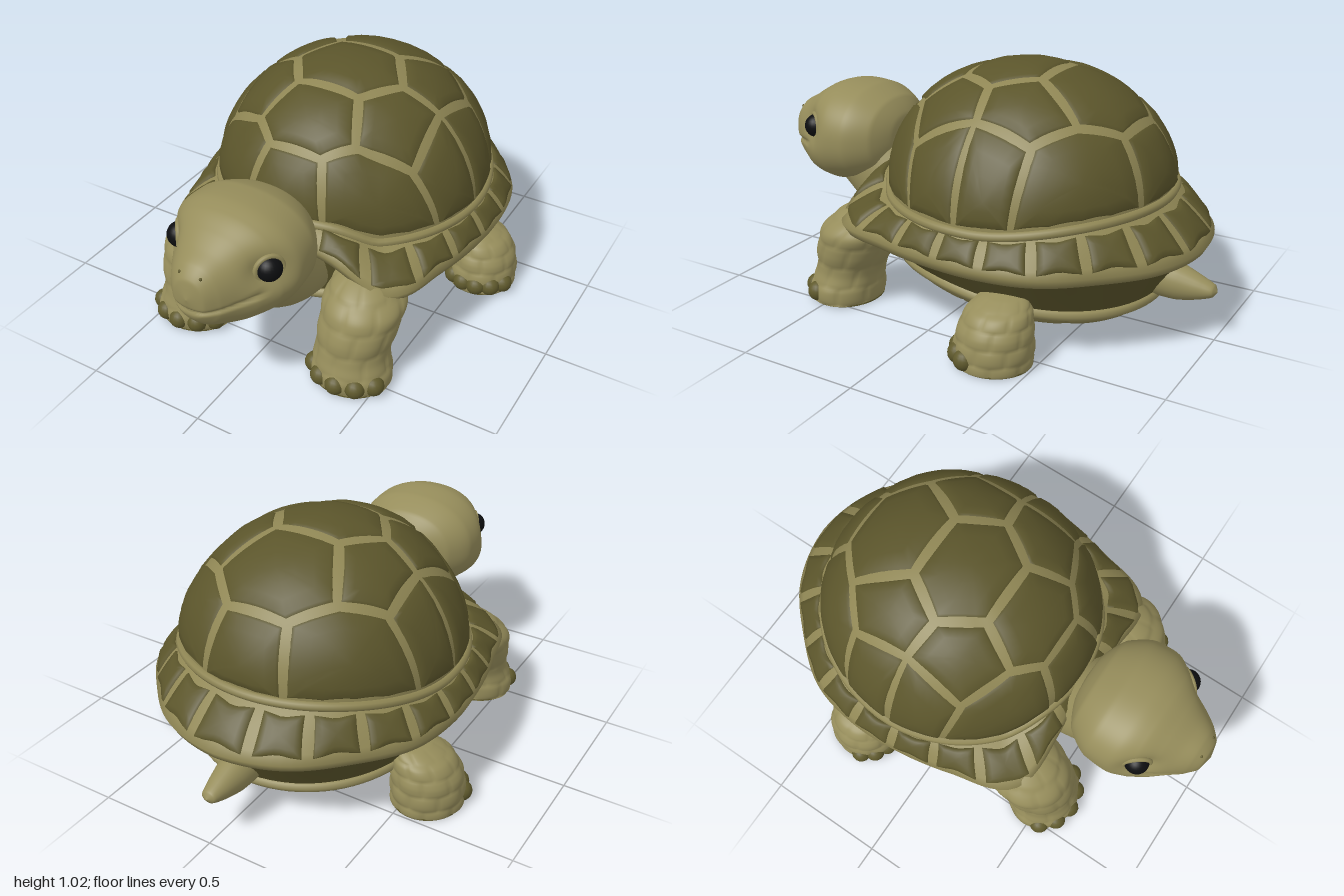
import * as THREE from 'three';

const mat = (name, color, side = THREE.FrontSide) => {
  const m = new THREE.MeshStandardMaterial({ color, side });
  m.name = name;
  return m;
};
const V = (x, y, z) => new THREE.Vector3(x, y, z);
const { lerp, smoothstep } = THREE.MathUtils;
const CENTRE = V(0, 0.4, -0.18);

// Closed-around surface from fn(angle, v) -> Vector3
function surface(fn, nu, nv, flip = false) {
  const pos = [], idx = [];
  for (let j = 0; j <= nv; j++)
    for (let i = 0; i < nu; i++) pos.push(...fn((i / nu) * Math.PI * 2, j / nv).toArray());
  for (let j = 0; j < nv; j++)
    for (let i = 0; i < nu; i++) {
      const a = j * nu + i, b = j * nu + ((i + 1) % nu), c = a + nu, d = b + nu;
      if (flip) idx.push(a, c, b, b, c, d);
      else idx.push(a, b, c, b, d, c);
    }
  return toGeometry(pos, idx);
}

function toGeometry(pos, idx) {
  const g = new THREE.BufferGeometry();
  g.setAttribute('position', new THREE.Float32BufferAttribute(pos, 3));
  g.setIndex(idx);
  g.computeVertexNormals();
  return g;
}

// Smooth loft; each section is [position on axis, centre a, centre b, radius a, radius b]
function loft(sections, axis, { power = 2, bump = null, nu = 48, nv = 48, warp = null } = {}) {
  const mid = new THREE.CatmullRomCurve3(sections.map((s) => V(s[0], s[1], s[2])));
  const rad = new THREE.CatmullRomCurve3(sections.map((s) => V(s[3], s[4], 0)));
  const sup = (x) => Math.sign(x) * Math.abs(x) ** (2 / power);
  return surface((a, v) => {
    const m = mid.getPoint(v), r = rad.getPoint(v), k = 1 + (bump ? bump(a, v) : 0);
    const p = m.y + Math.max(0, r.x) * k * sup(Math.cos(a));
    const q = m.z + Math.max(0, r.y) * k * sup(Math.sin(a));
    const out = axis === 'y' ? V(p, Math.max(0.003, m.x), q) : V(p, q, m.x);
    return warp ? warp(out) : out;
  }, nu, nv, axis === 'y');
}

// Staggered rows of rounded skin scales
const scales = (n, rows, size) => (a, v) =>
  size * Math.sqrt(Math.abs(Math.sin(n * a + Math.floor(v * rows) * Math.PI / 2) * Math.sin(rows * Math.PI * v)));

// Carapace shape: dome, flared rim, belly bowl
const front = (a) => smoothstep(Math.cos(a), 0.76, 0.97);
const rear = (a) => smoothstep(-Math.cos(a), 0.1, 1);
const outline = new THREE.SplineCurve(
  [0.58, 0.665, 0.772, 0.685, 0.65, 0.66, 0.69, 0.7, 0.745, 0.765].map((r, i) => new THREE.Vector2(i, r)));
const outerR = (a) => outline.getPoint(Math.acos(Math.cos(a)) / Math.PI).y;
const domeR = (a) => 0.57 + 0.02 * rear(a);
const edgeY = (a) => 0.38 + 0.11 * front(a);
const baseY = (a) => 0.475 + 0.075 * front(a) + 0.055 * rear(a);
const polar = (a, r, y) => V(r * Math.sin(a), y, -0.18 + r * Math.cos(a));

function dome(u, v) {
  const q = Math.hypot(u, v), a = Math.atan2(u, v), phi = q * Math.PI / 2, y0 = baseY(a);
  return polar(a, domeR(a) * Math.sin(phi), y0 + (1.005 - y0) * Math.cos(phi));
}
function rim(u, v) {
  const a = u / 0.65, s = v / 0.14;
  return polar(a, lerp(domeR(a) - 0.005, outerR(a), s), lerp(baseY(a) + 0.012, edgeY(a), s) + 0.012 * Math.sin(Math.PI * s));
}
const lipY = (u, v) => 0.17 + 0.02 * v + (0.04 + 0.05 * v) * u * u;
const lip = (a) => V(0.5 * Math.sin(a), lipY(Math.sin(a), Math.cos(a)), -0.2 + 0.55 * Math.cos(a));
function bowl(u, v) {
  const h = Math.sqrt(Math.max(0, 1 - u * u - v * v));
  return V(0.5 * u, lipY(u, v) - 0.137 * h, -0.2 + 0.55 * v);
}

// Raised plate over a polygon drawn in the (u, v) coordinates of a surface
function plate(map, corners, inset, lift) {
  const pts = corners.map(([x, y]) => new THREE.Vector2(x, y));
  const c = pts.reduce((s, p) => s.add(p), new THREE.Vector2()).divideScalar(pts.length);
  const edge = [];
  pts.forEach((p, i) => {
    for (let k = 0; k < 5; k++) edge.push(p.clone().lerp(pts[(i + 1) % pts.length], k / 5));
  });
  edge.forEach((p) => p.lerp(c, Math.min(0.6, inset / p.distanceTo(c))));
  const put = (p, h) => {
    const o = map(p.x, p.y), e = 0.002;
    const n = map(p.x + e, p.y).sub(o).cross(map(p.x, p.y + e).sub(o)).normalize();
    if (n.dot(o.clone().sub(CENTRE)) < 0) n.negate();
    return o.addScaledVector(n, h).toArray();
  };
  const pos = [], idx = [], n = edge.length;
  [[0, -0.3], [0.08, 0.65], [0.35, 0.9], [0.68, 1]].forEach(([f, h]) =>
    edge.forEach((p) => pos.push(...put(p.clone().lerp(c, f), h * lift))));
  pos.push(...put(c, lift));
  for (let i = 0; i < n; i++) {
    const j = (i + 1) % n;
    for (let r = 0; r < 3; r++)
      idx.push(r * n + i, r * n + j, r * n + n + i, r * n + j, r * n + n + j, r * n + n + i);
    idx.push(3 * n + i, 3 * n + j, 4 * n);
  }
  // turn the plate outwards when its corners run the other way
  const at = (i) => V(...pos.slice(3 * i, 3 * i + 3)), t = at(4 * n);
  const normal = at(3 * n).sub(t).cross(at(3 * n + 5).sub(t));
  if (normal.dot(t.clone().sub(CENTRE)) < 0) idx.reverse();
  return toGeometry(pos, idx);
}

export function createModel() {
  const group = new THREE.Group();
  group.name = 'tortoise';
  const skin = mat('skin', 0x968d5b);
  const seam = mat('shellSeam', 0x8f8654, THREE.DoubleSide);
  const scute = mat('shellScute', 0x5b552b);
  const under = mat('shellUnderside', 0x59532a, THREE.DoubleSide);
  const belly = mat('bellyPlate', 0x8a8150);
  const nail = mat('toenail', 0x605a2d);
  const black = mat('eyeBlack', 0x0d0e10);
  const add = (name, geo, material, parent = group) => {
    const m = new THREE.Mesh(geo, material);
    m.name = name;
    parent.add(m);
    return m;
  };
  const mirrored = (list) => list.map(([x, y]) => [-x, y]);
  const ring = (fn) => new THREE.CatmullRomCurve3(
    Array.from({ length: 48 }, (_, i) => fn((i / 48) * Math.PI * 2)), true);

  // Shell base in the seam colour
  add('shellDome', surface((a, v) => dome(v * Math.sin(a), v * Math.cos(a)), 96, 32, true), seam);
  const underRim = [[0.975, -0.035], [0.9, -0.04]];
  add('shellRim', surface((a, v) => {
    const k = Math.round(v * 8);
    if (k <= 6) return rim(a * 0.65, (k / 6) * 0.14);
    const [f, dy] = underRim[k - 7];
    return polar(a, outerR(a) * f, edgeY(a) + dy);
  }, 128, 8, true), seam);
  add('shellBead', new THREE.TubeGeometry(ring((a) => polar(a, domeR(a), baseY(a) + 0.012)), 128, 0.019, 8, true), seam);

  // Dome scutes
  const arc = (a0, a1) => [0, 1, 2, 3, 4].map((i) => {
    const a = lerp(a0, a1, i / 4);
    return [0.97 * Math.sin(a), 0.97 * Math.cos(a)];
  });
  const A = [0.155, -0.134], B = [0.32, -0.405], C = [0.167, -0.584], D = [0.284, 0.057], E = [0.16, 0.25],
    F = [0.273, 0.473], G = [0.156, 0.61], H = [0.485, 0.024], I = [0.52, -0.28], J = [0.559, 0.373];
  const across = (list) => [...list, ...mirrored(list).reverse()];
  const middle = [across([C, B, A]), across([A, D, E]), across([E, F, G]),
    [[-G[0], G[1]], G, ...arc(0.3, -0.3)], [[-C[0], C[1]], C, ...arc(2.84, 3.44)]];
  const side = [[B, A, D, H, I], [D, E, F, J, H], [G, F, J, ...arc(1.13, 0.3)], [J, H, ...arc(1.55, 1.13)],
    [H, I, ...arc(1.94, 1.55)], [I, B, C, ...arc(2.84, 1.94)]];
  [...middle, ...side, ...side.map(mirrored)].forEach((p) => add('domeScute', plate(dome, p, 0.019, 0.013), scute));

  // Rim scutes
  const rimPlate = (a0, a1) => {
    const u0 = a0 * 0.65, u1 = a1 * 0.65;
    add('rimScute', plate(rim, [[u0, 0.016], [u1, 0.016], [u1, 0.138], [u0, 0.138]], 0.019, 0.013), scute);
  };
  rimPlate(-0.28, 0.28);
  rimPlate(2.971, 2 * Math.PI - 2.971);
  for (let i = 0; i < 9; i++) {
    const a0 = 0.28 + i * 0.299, a1 = a0 + 0.299;
    rimPlate(a0, a1);
    rimPlate(-a1, -a0);
  }

  // Flanks, belly bowl and its lip
  add('shellFlank', surface((a, v) =>
    polar(a, outerR(a) * 0.91, edgeY(a) - 0.035).lerp(lip(a), v), 96, 6, true), under);
  add('bellyLip', new THREE.TubeGeometry(ring(lip), 96, 0.024, 8, true), skin);
  add('bellyBowl', surface((a, v) => bowl(v * Math.sin(a), v * Math.cos(a)), 64, 16), seam);
  const rows = [-0.93, -0.6, -0.25, 0.12, 0.48, 0.93], w = (v) => 0.95 * Math.sqrt(1 - v * v);
  rows.slice(1).forEach((v1, i) => {
    const v0 = rows[i], m = (v0 + v1) / 2;
    const p = [[0, v0], [w(v0), v0], [w(m), m], [w(v1), v1], [0, v1]];
    [p, mirrored(p)].forEach((q) => add('bellyScute', plate(bowl, q, 0.012, 0.007), belly));
  });

  // Neck and tail
  add('neck', new THREE.TubeGeometry(
    new THREE.CatmullRomCurve3([V(0, 0.33, 0.1), V(0, 0.36, 0.4), V(0, 0.52, 0.6)]), 24, 0.188, 32), skin);
  add('tail', loft([[-1, 0, 0.205, 0, 0], [-0.985, 0, 0.206, 0.03, 0.024], [-0.93, 0, 0.208, 0.048, 0.048],
    [-0.84, 0, 0.215, 0.068, 0.075], [-0.66, 0, 0.24, 0.09, 0.09]], 'z', { nu: 24, nv: 24 }), skin);

  // Head: [z, half width, top, bottom], with pressed-in eye sockets and a mouth crease
  const head = new THREE.Group();
  head.name = 'head';
  group.add(head);
  const profile = [[0.42, 0, 0.62, 0.62], [0.432, 0.11, 0.7, 0.53], [0.48, 0.21, 0.768, 0.445], [0.58, 0.272, 0.812, 0.4],
    [0.68, 0.277, 0.82, 0.383], [0.76, 0.25, 0.805, 0.383], [0.83, 0.202, 0.768, 0.39], [0.89, 0.15, 0.73, 0.41],
    [0.945, 0.108, 0.7, 0.44], [0.985, 0.065, 0.655, 0.495], [1, 0, 0.58, 0.58]];
  const skull = add('skull', loft(profile.map(([z, hw, t, b]) => [z, 0, (t + b) / 2, hw, (t - b) / 2]), 'z', {
    power: 2.2, nu: 120, nv: 96,
    warp: (p) => {
      const d = ((p.y - 0.645) ** 2 + (p.z - 0.792) ** 2) / 0.0045;
      p.x -= Math.sign(p.x) * Math.min(Math.abs(p.x), 0.045 * Math.exp(-d));
      const line = (p.y - 0.525 - 0.9 * p.x * p.x) / 0.009;
      const crease = Math.exp(-line * line) * smoothstep(p.z, 0.78, 0.85);
      p.x *= 1 - 0.06 * crease;
      p.z -= 0.012 * crease;
      return p;
    },
  }), skin, head);
  skull.updateMatrixWorld();
  for (const s of [1, -1]) {
    const eye = add('eye', new THREE.SphereGeometry(0.05, 24, 16), black, head);
    eye.position.set(s * 0.195, 0.645, 0.768);
    const lid = add('eyelid', new THREE.TorusGeometry(0.053, 0.01, 8, 32), skin, head);
    lid.position.set(s * 0.199, 0.645, 0.771);
    lid.lookAt(s * 1.0, 0.66, 1.37);
    const nostril = add('nostril', new THREE.SphereGeometry(0.006, 8, 6), nail, head);
    const ray = new THREE.Raycaster(V(s * 0.045, 0.668, 2), V(0, 0, -1));
    nostril.position.copy(ray.intersectObject(skull)[0].point);
  }

  // Legs with toenails: sections are [y, x, z, radius x, radius z]
  const frontLeg = [[0, 0.375, 0.485, 0, 0], [0, 0.375, 0.485, 0.16, 0.14], [0.06, 0.375, 0.485, 0.16, 0.145],
    [0.13, 0.37, 0.47, 0.143, 0.138], [0.22, 0.375, 0.44, 0.152, 0.155], [0.31, 0.38, 0.4, 0.157, 0.165],
    [0.38, 0.365, 0.36, 0.128, 0.145], [0.425, 0.355, 0.335, 0.075, 0.09], [0.445, 0.35, 0.32, 0, 0]];
  const rearLeg = [[0, 0.565, -0.34, 0, 0], [0, 0.565, -0.34, 0.14, 0.145], [0.06, 0.565, -0.34, 0.142, 0.15],
    [0.14, 0.56, -0.345, 0.135, 0.142], [0.21, 0.54, -0.35, 0.112, 0.12], [0.25, 0.5, -0.35, 0.07, 0.08],
    [0.27, 0.48, -0.35, 0, 0]];
  for (const [name, leg, from, to] of [['frontLeg', frontLeg, 28, 152], ['rearLeg', rearLeg, 25, 130]])
    for (const s of [1, -1]) {
      const part = new THREE.Group();
      part.name = name;
      group.add(part);
      const sections = leg.map(([y, x, z, rx, rz]) => [y, s * x, z, rx, rz]);
      add(name + 'Skin', loft(sections, 'y', { bump: scales(4, 7, 0.05), nu: 80, nv: 72 }), skin, part);
      const [, x, z, rx, rz] = leg[2];
      const sole = add('sole', new THREE.CylinderGeometry(1, 1, 0.006, 40), nail, part);
      sole.scale.set(rx, 1, rz);
      sole.position.set(s * x, 0.003, z);
      for (let i = 0; i < 5; i++) {
        const a = THREE.MathUtils.degToRad(lerp(from, to, i / 4));
        const n = add('toenail', new THREE.SphereGeometry(0.042, 16, 12), nail, part);
        n.position.set(s * (x + 0.93 * rx * Math.cos(a)), 0.042, z + 0.9 * rz * Math.sin(a));
      }
    }
  return group;
}
